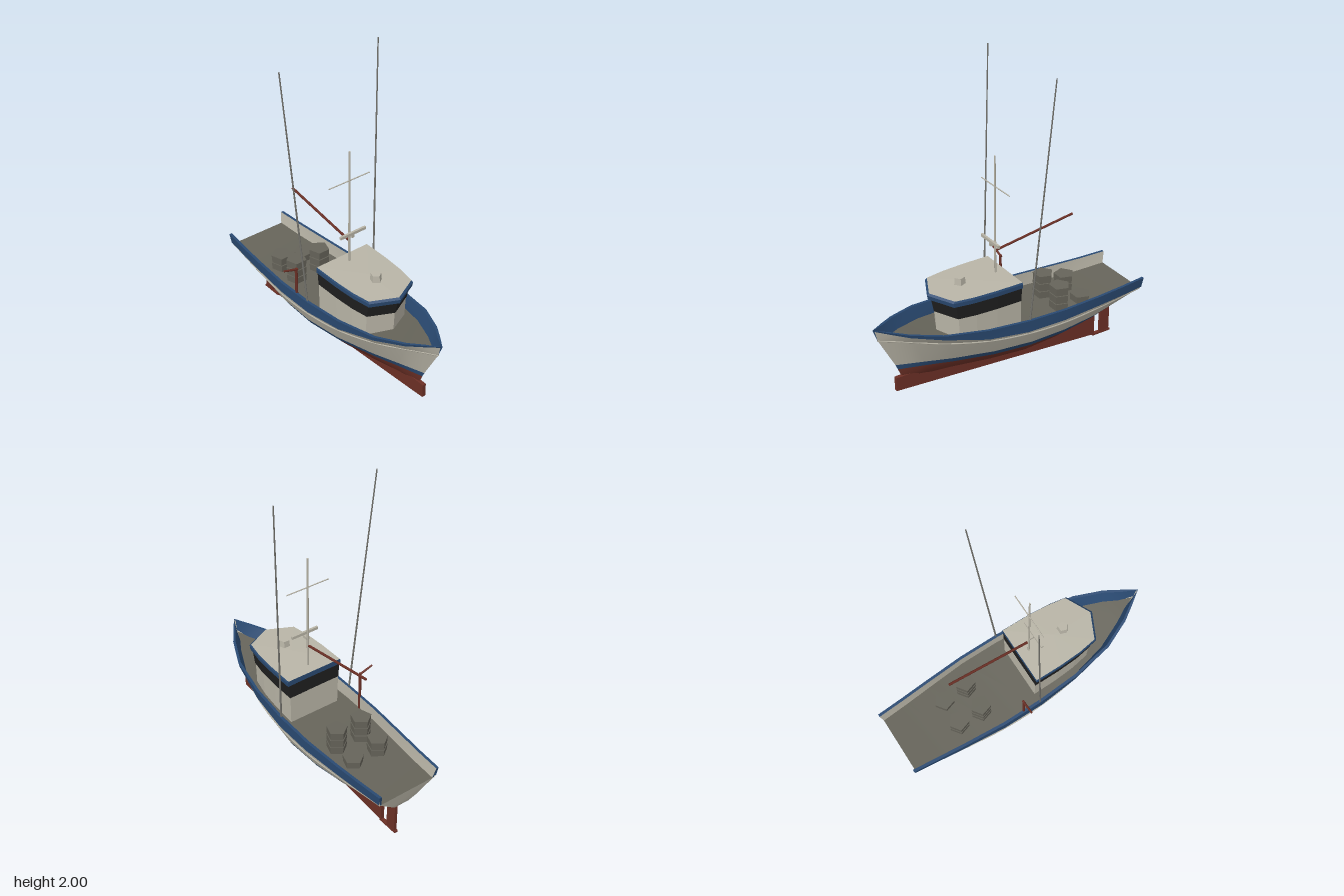
import * as THREE from 'three';

const mat = (name, color) => {
  const m = new THREE.MeshStandardMaterial({ color, side: THREE.DoubleSide });
  m.name = name;
  return m;
};

export function createModel() {
  const white = mat('offWhite', 0xb9b5a7), blue = mat('navyBlue', 0x2a4a72), red = mat('hullRed', 0x6c3026);
  const deckGrey = mat('deckGrey', 0x66645a), black = mat('windowBlack', 0x1f1f1f), steel = mat('steelGrey', 0x75746e);
  const boat = new THREE.Group();
  boat.name = 'fishingBoat';
  const V = (x, y, z) => new THREE.Vector3(x, y, z);

  const add = (name, geo, material, parent = boat) => {
    const m = new THREE.Mesh(geo, material);
    m.name = name;
    parent.add(m);
    return m;
  };
  const box = (name, material, w, h, d, x, y, z) =>
    add(name, new THREE.BoxGeometry(w, h, d), material).position.set(x, y, z);

  // Round bar between two points
  const bar = (name, a, b, r0, r1, material) => {
    const m = add(name, new THREE.CylinderGeometry(r1, r0, a.distanceTo(b), 6), material);
    m.position.copy(a).lerp(b, 0.5);
    m.quaternion.setFromUnitVectors(V(0, 1, 0), b.clone().sub(a).normalize());
  };

  // Skin across rows of points of equal length
  const loft = (rows, flat = false) => {
    const n = rows[0].length, idx = [];
    for (let r = 0; r + 1 < rows.length; r++)
      for (let i = 0; i + 1 < n; i++) {
        const a = r * n + i, b = a + n;
        idx.push(a, b, a + 1, a + 1, b, b + 1);
      }
    let g = new THREE.BufferGeometry().setFromPoints(rows.flat());
    g.setIndex(idx);
    if (flat) g = g.toNonIndexed();
    g.computeVertexNormals();
    return g;
  };

  // Hull lines: bow z, stern z, then half widths and heights at each station
  const T = [0, 0.05, 0.1, 0.2, 0.35, 0.5, 0.65, 0.8, 0.9, 1];
  const same = (y) => T.map(() => y);
  const lines = [
    { z: [0.9, -0.9], w: [0, .065, .125, .205, .25, .265, .265, .247, .232, .218], y: [.58, .565, .55, .525, .495, .475, .465, .46, .46, .465] },
    { z: [0.895, -0.89], w: [0, .06, .12, .198, .243, .264, .264, .243, .226, .21], y: [.572, .55, .53, .495, .43, .4, .395, .395, .395, .4] },
    { z: [0.87, -0.885], w: [0, .045, .095, .172, .235, .26, .26, .236, .217, .2], y: [.5, .49, .48, .45, .41, .385, .375, .375, .38, .39] },
    { z: [0.765, -0.86], w: [0, .03, .06, .122, .192, .226, .222, .19, .15, .09], y: same(0.295) },
    { z: [0.75, -0.845], w: [0, .025, .05, .105, .172, .206, .2, .16, .11, .05], y: same(0.26) },
    { z: [0.735, -0.83], w: [0, .015, .035, .07, .115, .14, .13, .095, .05, .015], y: [.22, .21, .205, .2, .195, .19, .195, .21, .23, .25] },
    { z: [0.71, -0.82], w: same(0), y: [.2, .18, .165, .155, .148, .145, .148, .165, .205, .245] },
  ];
  const row = (k, side, inset = 0) => T.map((t, i) => {
    const l = lines[k];
    return V(side * Math.max(0, l.w[i] - inset), l.y[i], l.z[0] + (l.z[1] - l.z[0]) * t);
  });

  for (const s of [-1, 1]) {
    const half = new THREE.Group();
    half.name = s > 0 ? 'leftHullSide' : 'rightHullSide';
    boat.add(half);
    const R = lines.map((_, k) => row(k, s));
    const innerTop = row(0, s, 0.018), innerLow = row(2, s, 0.012);
    add('bulwarkBand', loft([R[0], R[1]]), blue, half);
    add('bowStrake', loft([R[1], R[2]]), white, half);
    add('topsides', loft([R[2], R[3]]), white, half);
    add('waterlineBand', loft([R[3], R[4]]), blue, half);
    add('bottom', loft([R[4], R[5], R[6]]), red, half);
    add('railCap', loft([R[0], innerTop]), blue, half);
    add('innerBulwarkFore', loft([innerTop.slice(0, 5), innerLow.slice(0, 5)]), blue, half);
    add('innerBulwarkAft', loft([innerTop.slice(4), innerLow.slice(4)]), white, half);
    add('railEnd', loft([[R[0][9], R[2][9]], [innerTop[9], innerLow[9]]]), blue, half);
    add('rubRail', new THREE.TubeGeometry(new THREE.CatmullRomCurve3(R[2]), 30, 0.005, 5), white, half);
  }
  add('deck', loft([row(2, 1), row(2, -1)]), deckGrey);
  const edge = (s) => lines.slice(2).map((_, k) => row(k + 2, s)[9]);
  add('transom', loft([edge(1), edge(-1)]), white);

  // Keel, shoe and rudder
  const keelShape = new THREE.Shape([[.77, .21], [.77, .12], [-.68, .01], [-.68, .205]].map(([z, y]) => new THREE.Vector2(-z, y)));
  const keel = add('keel', new THREE.ExtrudeGeometry(keelShape, { depth: 0.024, bevelEnabled: false }), red);
  keel.rotation.y = Math.PI / 2;
  keel.position.x = -0.012;
  box('keelShoe', red, 0.024, 0.012, 0.14, 0, 0.006, -0.74);
  box('rudder', red, 0.02, 0.205, 0.07, 0, 0.112, -0.765);

  // Wheelhouse tiers share one pointed footprint, scaled at each level
  const foot = [[.195, 0], [.194, .18], [.185, .33], [.165, .45], [0, .53], [-.165, .45], [-.185, .33], [-.194, .18], [-.195, 0], [.195, 0]];
  const ring = (y, s) => foot.map(([x, z]) => V(x * s, y, 0.005 + z * s));
  const tier = (name, levels, material) => add(name, loft(levels.map(([y, s]) => ring(y, s)), true), material);
  tier('cabinWalls', [[.37, .9], [.577, .92]], white);
  tier('cabinWindows', [[.575, .93], [.67, .965]], black);
  tier('roofTrim', [[.668, .94], [.668, 1], [.695, 1.01], [.706, .985]], blue);
  const roof = ring(0.706, 0.985);
  add('cabinRoof', loft([roof, roof.map(() => V(0, 0.711, 0.25))], true), white);
  const vent = add('roofVent', new THREE.CylinderGeometry(0.032, 0.037, 0.045, 5).toNonIndexed(), white);
  vent.geometry.computeVertexNormals();
  vent.position.set(0, 0.73, 0.32);

  // Mast, crossbar and scanner
  bar('mast', V(0, .7, .072), V(0, 1.465, .072), .007, .006, white);
  bar('mastCrossbar', V(-.15, 1.27, .07), V(.15, 1.27, .07), .0035, .0035, white);
  box('scannerBracket', white, 0.02, 0.02, 0.04, 0, 0.905, 0.09);
  box('scannerPost', white, 0.012, 0.03, 0.012, 0, 0.915, 0.105);
  box('scannerBar', white, 0.19, 0.018, 0.014, 0, 0.926, 0.105);
  bar('boom', V(0, .855, .06), V(0, .943, -.485), .008, .008, red);

  // Outrigger poles
  for (const s of [-1, 1])
    bar(s > 0 ? 'leftOutrigger' : 'rightOutrigger', V(s * .258, .48, -.008), V(s * .345, 2, -.103), .006, .004, steel);

  // Hauling davit on the right rail
  bar('davitPost', V(-.25, .38, -.125), V(-.25, .65, -.125), .009, .009, red);
  bar('davitArm', V(-.24, .64, -.125), V(-.34, .67, -.125), .008, .006, red);

  // Stacked five-sided pots on the aft deck
  for (const [x, z, count] of [[-.09, -.34, 3], [.09, -.34, 3], [-.09, -.5, 2], [.09, -.5, 1]])
    for (let i = 0; i < count; i++) {
      const g = new THREE.CylinderGeometry(0.066, 0.062, 0.052, 5).toNonIndexed();
      g.computeVertexNormals();
      const pot = add('pot', g, deckGrey);
      pot.position.set(x, 0.396 + i * 0.055, z);
      pot.rotation.y = Math.PI;
    }
  return boat;
}
